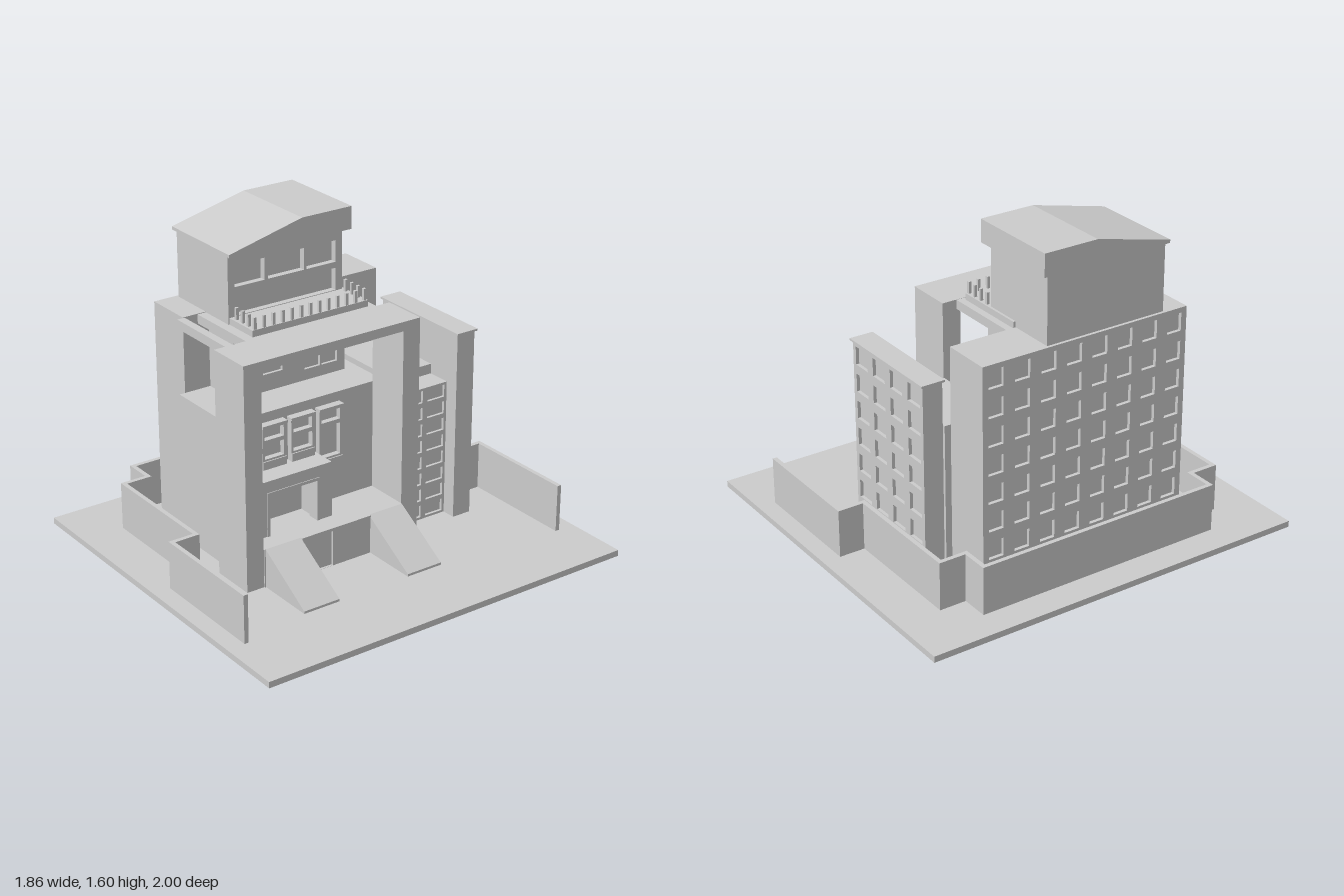
import * as THREE from 'three';

const mat = new THREE.MeshStandardMaterial({ color: 0xcccccc, flatShading: true });

export function createModel() {
  const model = new THREE.Group();

  function add(name, geo) {
    const m = new THREE.Mesh(geo, mat);
    m.name = name;
    model.add(m);
    return m;
  }

  // Box given by its limits on each axis
  function box(name, x0, x1, y0, y1, z0, z1) {
    const m = add(name, new THREE.BoxGeometry(x1 - x0, y1 - y0, z1 - z0));
    m.position.set((x0 + x1) / 2, (y0 + y1) / 2, (z0 + z1) / 2);
    return m;
  }

  const rect = (S, u0, u1, v0, v1) =>
    new S([[u0, v0], [u1, v0], [u1, v1], [u0, v1]].map(p => new THREE.Vector2(...p)));

  // Upright panel with rectangular openings [u0, u1, v0, v1]; u runs sideways, v up
  function panel(name, outer, holes, depth) {
    const s = rect(THREE.Shape, ...outer);
    holes.forEach(h => s.holes.push(rect(THREE.Path, ...h)));
    return add(name, new THREE.ExtrudeGeometry(s, { depth, bevelEnabled: false }));
  }

  // Panel facing +x, limits given as [z0, z1, y0, y1]
  function panelX(name, x, depth, outer, holes) {
    const flip = ([a, b, c, d]) => [-b, -a, c, d];
    const m = panel(name, flip(outer), holes.map(flip), depth);
    m.rotation.y = Math.PI / 2;
    m.position.x = x;
    return m;
  }

  // Regular grid of openings inside [u0, u1, v0, v1]
  function grid([u0, u1, v0, v1], cols, rows, w, h) {
    const out = [], du = (u1 - u0) / cols, dv = (v1 - v0) / rows;
    for (let i = 0; i < cols; i++) for (let j = 0; j < rows; j++) {
      const u = u0 + (i + 0.5) * du, v = v0 + (j + 0.5) * dv;
      out.push([u - w / 2, u + w / 2, v - h / 2, v + h / 2]);
    }
    return out;
  }

  // Prism from a closed (a, b) outline
  function prism(name, pts, depth) {
    const s = new THREE.Shape(pts.map(p => new THREE.Vector2(...p)));
    return add(name, new THREE.ExtrudeGeometry(s, { depth, bevelEnabled: false }));
  }

  const G = 0.035;
  box('ground', -0.93, 0.93, 0.004, G, -1, 1);

  // Stepped boundary wall, one outline mirrored in z
  const half = [[0.61, 0.9], [0.01, 0.9], [0.01, 0.77], [-0.63, 0.77], [-0.63, 0.635], [-0.77, 0.635]];
  const path = [...half, ...half.map(([x, z]) => [x, -z]).reverse()];
  const t = 0.011;
  for (let i = 0; i + 1 < path.length; i++) {
    const [a, b] = path[i], [c, d] = path[i + 1];
    const ex = i === 0 || i === path.length - 2 ? 0 : t;
    box('boundaryWall', Math.min(a, c) - t, Math.max(a, c) + ex, G, 0.275,
      Math.min(b, d) - t, Math.max(b, d) + t);
  }

  // Tall rear block with its window wall facing -x
  box('rearBlock', -0.622, -0.39, G, 1.158, -0.55, 0.56);
  const rear = [-0.55, 0.56, G, 1.158];
  const rearWall = panel('rearWindowWall', rear, grid(rear, 8, 8, 0.08, 0.09), 0.018);
  rearWall.rotation.y = -Math.PI / 2;
  rearWall.position.x = -0.622;

  // Portal frame: two piers and a thin top
  box('portalPier', 0.01, 0.243, G, 1.11, 0.557, 0.65);
  box('portalPier', 0.01, 0.243, G, 1.11, -0.325, -0.23);
  box('portalTop', 0.01, 0.243, 1.11, 1.156, -0.325, 0.65);
  box('linkBeam', -0.39, 0.01, 1.11, 1.155, 0.55, 0.59);

  // Main body, recessed upper storey and roof deck
  box('mainBody', -0.39, 0.012, G, 0.78, -0.28, 0.59);
  box('upperStorey', -0.39, -0.2, 0.78, 1.11, -0.21, 0.42);
  const upperWindows = [
    [0.15, 0.26, 1.035, 1.095], [0.28, 0.4, 1.005, 1.095], [0.15, 0.26, 1.005, 1.025],
    [0.15, 0.26, 0.9, 0.95], [0.28, 0.4, 0.865, 0.95], [0.15, 0.26, 0.865, 0.89],
    [-0.065, 0.025, 1.015, 1.095], [-0.165, -0.075, 1.015, 1.095],
    [-0.065, 0.025, 0.835, 0.94], [-0.165, -0.075, 0.835, 0.94]];
  panelX('upperWindowWall', -0.2, 0.015, [-0.21, 0.42, 0.78, 1.11], upperWindows);
  box('roofDeck', -0.39, 0.01, 1.11, 1.155, -0.25, 0.48);
  box('terrace', -0.39, -0.01, 1.155, 1.187, -0.215, 0.43);

  // Terrace balusters on three sides
  const post = (x, z) => box('baluster', x - 0.007, x + 0.007, 1.187, 1.245, z - 0.007, z + 0.007);
  for (let i = 0; i < 13; i++) post(-0.02, -0.2 + i * 0.051);
  for (const x of [-0.165, -0.115, -0.067]) { post(x, -0.2); post(x, 0.412); }

  // Penthouse with a recessed window band and a sloped roof
  box('penthouse', -0.625, -0.23, 1.155, 1.495, -0.203, 0.435);
  panelX('penthouseFront', -0.23, 0.032, [-0.203, 0.435, 1.155, 1.495],
    [[-0.165, 0.4, 1.19, 1.3], [-0.165, 0.0, 1.33, 1.437], [0.015, 0.215, 1.33, 1.437], [0.235, 0.4, 1.33, 1.437]]);
  const roof = prism('roof', [[-0.45, 1.49], [0.23, 1.49], [0.23, 1.602], [-0.05, 1.602], [-0.45, 1.506]], 0.48);
  roof.rotation.y = Math.PI / 2;
  roof.position.x = -0.64;

  // Projecting windows on the main front
  for (const [z, bottom] of [[0.355, 0.5], [0.195, 0.5], [0.035, 0.415]]) {
    const a = z - 0.065, b = z + 0.065;
    panelX('bayWindow', 0.012, 0.03, [a, b, bottom, 0.72],
      [[a + 0.012, b - 0.012, 0.655, 0.71], [a + 0.012, b - 0.012, bottom + 0.06, 0.635]]);
    box('windowHood', 0.012, 0.052, 0.72, 0.732, a - 0.004, b + 0.004);
    box('windowSill', 0.012, 0.048, bottom, bottom + 0.05, a, b);
  }

  // Entrance porch
  panelX('porch', 0.012, 0.14, [0.11, 0.555, 0.23, 0.51], [[0.185, 0.47, 0.2301, 0.445]]);
  panelX('porchFrame', 0.09, 0.066, [0.18, 0.475, 0.23, 0.452], [[0.195, 0.46, 0.2301, 0.437]]);

  // Raised platform with a front door and twin ramps
  box('platform', 0.01, 0.248, G, 0.23, -0.23, 0.557);
  panelX('platformFront', 0.248, 0.012, [-0.04, 0.355, G, 0.23], [[0.18, 0.34, G + 0.001, 0.215]]);
  for (const z of [-0.23, 0.355]) {
    const ramp = prism('ramp', [[0.24, G], [0.55, G], [0.55, 0.047], [0.248, 0.23], [0.24, 0.23]], 0.195);
    ramp.position.z = z;
  }

  // Side wing with a window wall facing +x
  box('sideWing', -0.39, 0.01, G, 0.78, -0.582, -0.32);
  box('wingFront', 0.01, 0.118, G, 0.73, -0.582, -0.322);
  const wing = [-0.582, -0.322, G, 0.73];
  panelX('wingWindowWall', 0.118, 0.014, wing, grid(wing, 2, 8, 0.102, 0.063));

  // Slim side tower with windows facing -z
  box('sideTower', -0.375, 0.205, 0, 0.995, -0.668, -0.582);
  const tower = [-0.205, 0.375, G, 0.995];
  const towerWall = panel('towerWindowWall', tower, grid(tower, 4, 7, 0.1, 0.09), 0.016);
  towerWall.rotation.y = Math.PI;
  towerWall.position.z = -0.668;
  box('towerCap', -0.385, 0.215, 0.993, 1.003, -0.695, -0.574);

  return model;
}
